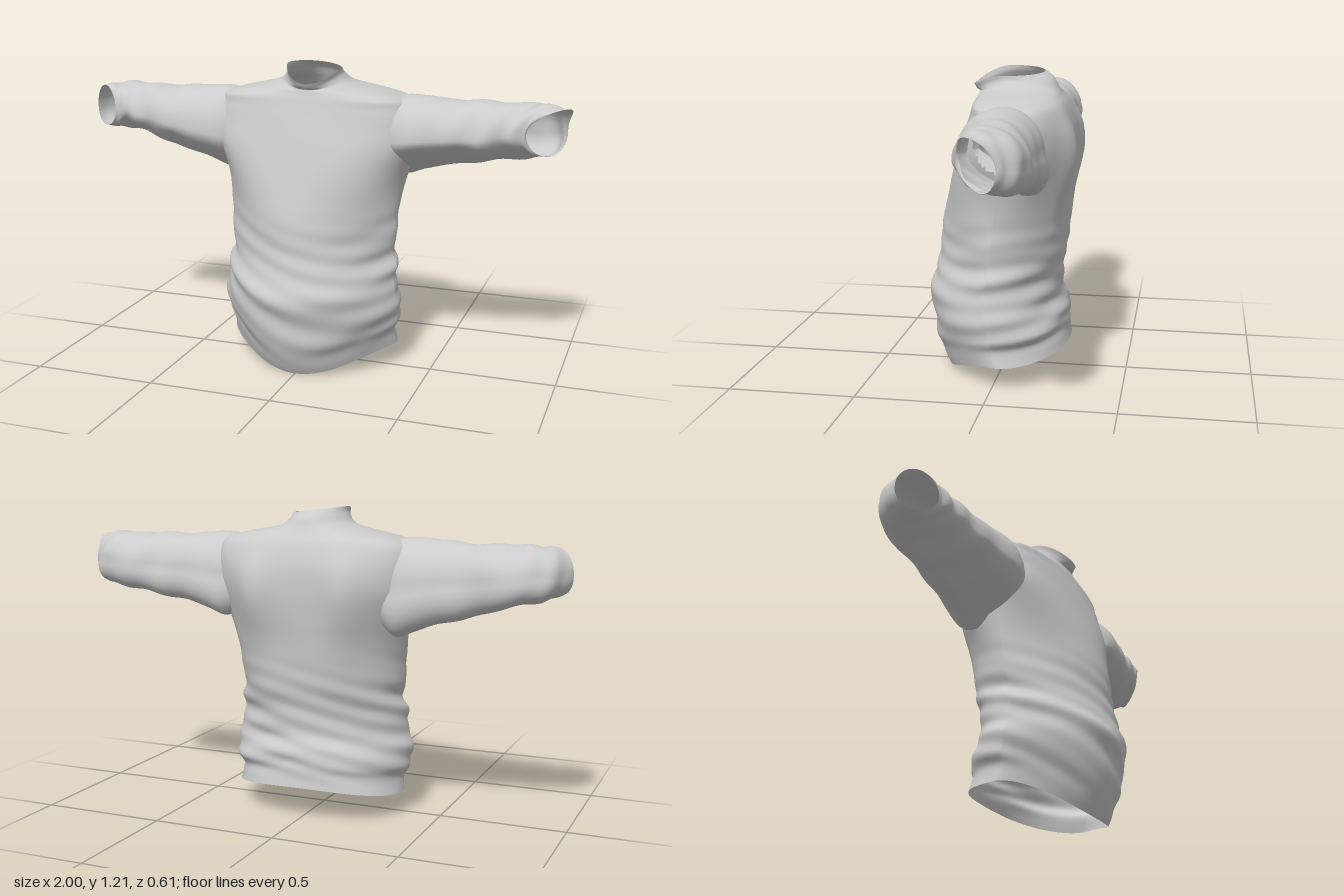
import * as THREE from 'three';

const material = new THREE.MeshStandardMaterial({ color: 0xcccccc, side: THREE.DoubleSide });
const { smoothstep } = THREE.MathUtils;

// Smoothly interpolates the rows of a table of cross-sections, t from 0 to 1
function sample(table, t) {
  const f = t * (table.length - 1);
  const i = Math.min(Math.floor(f), table.length - 2);
  const k = f - i;
  const a = table[Math.max(i - 1, 0)], b = table[i], c = table[i + 1];
  const d = table[Math.min(i + 2, table.length - 1)];
  return b.map((p, n) => p + 0.5 * k * (c[n] - a[n]
    + k * (2 * a[n] - 5 * p + 4 * c[n] - d[n] + k * (3 * (p - c[n]) + d[n] - a[n]))));
}

// Open tube of cloth: point(t, angle) gives the surface, skip(x, y, z) cuts holes
function clothTube(name, rows, cols, point, skip = () => false) {
  const pos = [], index = [];
  for (let i = 0; i <= rows; i++)
    for (let j = 0; j < cols; j++) pos.push(...point(i / rows, (j / cols) * Math.PI * 2));
  const at = (v, n) => pos[v * 3 + n];
  for (let i = 0; i < rows; i++) {
    for (let j = 0; j < cols; j++) {
      const a = i * cols + j, b = i * cols + ((j + 1) % cols);
      const c = a + cols, d = b + cols;
      const mid = [0, 1, 2].map((n) => (at(a, n) + at(b, n) + at(c, n) + at(d, n)) / 4);
      if (!skip(...mid)) index.push(a, b, c, b, d, c);
    }
  }
  const geometry = new THREE.BufferGeometry();
  geometry.setAttribute('position', new THREE.Float32BufferAttribute(pos, 3));
  geometry.setIndex(index);
  geometry.computeVertexNormals();
  const mesh = new THREE.Mesh(geometry, material);
  mesh.name = name;
  return mesh;
}

// Body sections from hem to collar: height, half width, front z, back z
const body = [
  [0.09, 0.35, 0.22, -0.275], [0.15, 0.345, 0.255, -0.265], [0.2, 0.365, 0.275, -0.27],
  [0.27, 0.37, 0.295, -0.255], [0.33, 0.355, 0.305, -0.24], [0.4, 0.352, 0.28, -0.235],
  [0.47, 0.34, 0.26, -0.247], [0.55, 0.345, 0.252, -0.26], [0.63, 0.35, 0.245, -0.266],
  [0.72, 0.36, 0.225, -0.272], [0.8, 0.375, 0.203, -0.28], [0.9, 0.4, 0.17, -0.288],
  [0.98, 0.405, 0.143, -0.285], [1.04, 0.4, 0.123, -0.268], [1.085, 0.37, 0.108, -0.248],
  [1.113, 0.28, 0.098, -0.228], [1.137, 0.155, 0.096, -0.212], [1.165, 0.112, 0.11, -0.193],
  [1.188, 0.105, 0.122, -0.158],
];

function bodyPoint(t, a) {
  const [y, w, zf, zb] = sample(body, t);
  const c = Math.cos(a), s = Math.sin(a);
  // slanting folds bunched around the waist
  const fold = 0.006 * smoothstep(y, 0.1, 0.2) * (1 - smoothstep(y, 0.44, 0.7));
  const wave = Math.sin(48 * (y + 0.09 * c) + 0.8 * Math.sin(3 * a + 1)) * (0.6 + 0.4 * Math.sin(2 * a + 9 * y))
    + 0.5 * Math.sin(77 * (y + 0.05 * c) + 1.5 * Math.sin(2 * a) + 4 * a);
  const ripple = 0.003 * Math.sin(5 * a + 14 * y) * (1 - smoothstep(y, 0.9, 1.1));
  const k = 1 + (fold * wave + ripple) / 0.3;
  const x = w * s * k;
  // pointed belly, squarer chest that runs out into the shoulders
  const chest = smoothstep(y, 0.6, 0.95) * (1 - smoothstep(y, 1.08, 1.15));
  const power = c > 0 ? 1.5 - 0.9 * chest - 0.5 * smoothstep(y, 1.05, 1.15) : 1 - 0.35 * chest;
  let z = (zf + zb) / 2 + ((zf - zb) / 2) * Math.sign(c) * Math.abs(c) ** power * k;
  // shoulder blades
  if (c < 0) z -= 0.033 * Math.exp(-(((Math.abs(x) - 0.19) / 0.08) ** 2) - ((y - 0.86) / 0.18) ** 2);
  // hem dips at the front, collar rises at the back and leans to one side
  const hem = 1 - smoothstep(y, 0.09, 0.36);
  const neck = smoothstep(y, 1.11, 1.18);
  const dy = hem * (c > 0 ? -0.09 * c ** 3 : 0.04 * c * c)
    + neck * (0.012 - 0.012 * s - (c > 0 ? 0.052 * c * c : 0));
  return [x, y + dy, z];
}

// Sleeve sections: front x, front z, back x, back z, top y, bottom y (left), bottom y (right)
const sleeve = [
  [0.29, 0.05, 0.30, -0.185, 1.075, 0.80, 0.77],
  [0.35, 0.09, 0.36, -0.208, 1.10, 0.765, 0.725],
  [0.42, 0.105, 0.43, -0.212, 1.103, 0.785, 0.745],
  [0.52, 0.09, 0.53, -0.205, 1.095, 0.81, 0.78],
  [0.61, 0.072, 0.64, -0.205, 1.09, 0.825, 0.805],
  [0.69, 0.06, 0.75, -0.21, 1.09, 0.84, 0.835],
  [0.76, 0.05, 0.86, -0.21, 1.09, 0.855, 0.865],
  [0.81, 0.042, 0.935, -0.18, 1.09, 0.87, 0.88],
  [0.845, 0.036, 0.975, -0.125, 1.085, 0.88, 0.89],
  [0.865, 0.03, 1.0, -0.065, 1.08, 0.885, 0.9],
];

function sleevePoint(side, t, a) {
  const [xf, zf, xb, zb, top, left, right] = sample(sleeve, t);
  const bottom = side > 0 ? left : right;
  const c = Math.cos(a), s = Math.sin(a) * side;
  const under = Math.max(0, s), over = Math.max(0, -s);
  // the underarm slants down to a corner at the back
  const sag = 1 - 0.85 * t;
  const corner = 0.6 * sag * under * Math.max(0, -c);
  // creases grow towards the cuff
  const crease = 0.04 * smoothstep(t, 0.15, 0.6) * (1 - 0.6 * smoothstep(t, 0.85, 1));
  const k = 1 + corner + crease * (Math.sin(34 * t + 2 * a + side) * 0.7 + Math.sin(19 * t - 3 * a) * 0.6);
  let x = (xf + xb) / 2 + ((xf - xb) / 2) * c * k;
  let z = (zf + zb) / 2 + ((zf - zb) / 2) * c * k;
  const y = (top + bottom) / 2 - s * k * ((top - bottom) / 2) + 0.055 * sag * under * (1 + c);
  // the left cuff opens further outwards, with its top edge pulled to a point
  if (side > 0) {
    const end = t ** 7;
    x += end * (0.075 * over ** 2 - 0.025);
    z -= end * (0.045 - 0.025 * c - 0.02 * over);
  }
  return [side * x, y, z];
}

// Armholes open the body into the sleeves
const inArmhole = (x, y, z) => Math.abs(x) > 0.34
  && ((y - 0.955 - 0.3 * (z + 0.05)) / 0.11) ** 2 + ((z + 0.055) / 0.12) ** 2 < 1;

export function createModel() {
  const group = new THREE.Group();
  group.name = 'pullover';
  group.add(clothTube('body', 120, 120, bodyPoint, inArmhole));
  for (const side of [1, -1]) {
    group.add(clothTube(side > 0 ? 'leftSleeve' : 'rightSleeve', 60, 48,
      (t, a) => sleevePoint(side, t, a)));
  }
  return group;
}
